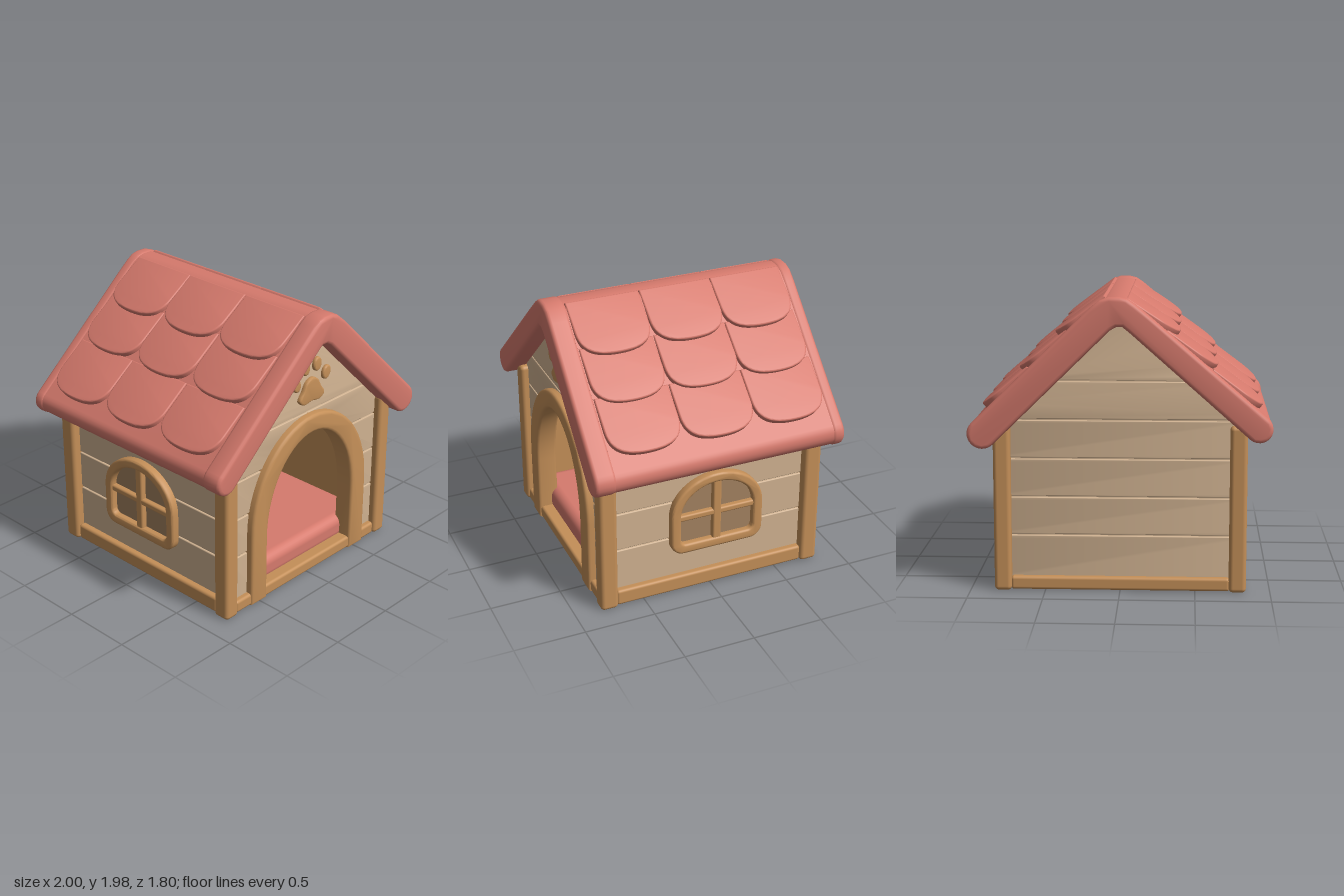
import * as THREE from 'three';
import { RoundedBoxGeometry } from 'three/addons/geometries/RoundedBoxGeometry.js';
import { toCreasedNormals } from 'three/addons/utils/BufferGeometryUtils.js';

const paint = (name, color) => Object.assign(new THREE.MeshStandardMaterial({ color }), { name });
const V = (x, y) => new THREE.Vector2(x, y);

export function createModel() {
  const roofRed = paint('roofRed', 0xd67a6d);
  const wallBeige = paint('wallBeige', 0xd0b291);
  const trimWood = paint('trimWood', 0xc48f58);
  const glassBrown = paint('glassBrown', 0xa38260);
  const model = new THREE.Group();
  model.name = 'petHouse';

  const add = (name, geo, mat, parent = model) => {
    const mesh = new THREE.Mesh(geo, mat);
    mesh.name = name;
    parent.add(mesh);
    return mesh;
  };
  const box = (name, mat, [x0, x1], [y0, y1], [z0, z1], r = 0.02, parent = model) => {
    const mesh = add(name, new RoundedBoxGeometry(x1 - x0, y1 - y0, z1 - z0, 3, r), mat, parent);
    mesh.position.set((x0 + x1) / 2, (y0 + y1) / 2, (z0 + z1) / 2);
    return mesh;
  };
  // Plate with rounded edges between two depths
  const slab = (shape, z0, z1, b = 0.006) => {
    const geo = new THREE.ExtrudeGeometry(shape, {
      depth: z1 - z0 - 2 * b, bevelEnabled: b > 0, bevelThickness: b, bevelSize: b,
      bevelOffset: -b, bevelSegments: 3, curveSegments: 12,
    });
    return toCreasedNormals(geo.translate(0, 0, z0 + b), 0.6);
  };
  // Arch outline from bottom right, over the top, to bottom left
  const arch = (hw, y0, spring, top, r = 0) => {
    const pts = [];
    const corner = (cx, a0) => {
      for (let i = 0; i <= 6; i++) {
        const a = a0 + (i / 6) * Math.PI / 2;
        pts.push(V(cx + r * Math.cos(a), y0 + r + r * Math.sin(a)));
      }
    };
    if (r) corner(hw - r, -Math.PI / 2); else pts.push(V(hw, y0));
    for (let i = 0; i <= 28; i++) {
      const a = (i / 28) * Math.PI;
      pts.push(V(hw * Math.cos(a), spring + (top - spring) * Math.sin(a)));
    }
    if (r) corner(-hw + r, Math.PI); else pts.push(V(-hw, y0));
    return pts;
  };

  // Gable walls
  const wallHalf = (y) => Math.min(0.76, (1.9 - y) / 0.88);
  const doorHalf = (y) => (y < 0.52 ? 0.5 : y < 1.18 ? 0.5 * Math.sqrt(1 - ((y - 0.52) / 0.66) ** 2) : 0);
  const gable = (withDoor) => {
    const s = new THREE.Shape([V(-0.76, 0.04), V(0.76, 0.04), V(0.76, 1.23), V(0, 1.9), V(-0.76, 1.23)]);
    if (withDoor) s.holes.push(new THREE.Path(arch(0.5, 0.06, 0.52, 1.18)));
    return s;
  };
  const planks = (name, mat, edges, z0, z1, withDoor) => {
    for (let k = 0; k < edges.length - 1; k++) {
      const y0 = edges[k] + 0.005, y1 = edges[k + 1] - 0.005, N = 12;
      const ys = Array.from({ length: N + 1 }, (_, i) => y0 + ((y1 - y0) * i) / N);
      const outer = ys.map((y) => V(wallHalf(y), y));
      const split = withDoor && doorHalf(y0) > 0;
      const inner = ys.map((y) => V(split ? doorHalf(y) : -wallHalf(y), y)).reverse();
      const pts = [...outer, ...inner];
      add(name, slab(new THREE.Shape(pts), z0, z1), mat);
      if (split) add(name, slab(new THREE.Shape(pts.map((p) => V(-p.x, p.y)).reverse()), z0, z1), mat);
    }
  };
  add('frontWall', slab(gable(true), 0.7, 0.74, 0), wallBeige);
  add('frontLining', slab(gable(true), 0.68, 0.7, 0), trimWood);
  add('backWall', slab(gable(false), -0.745, -0.7, 0), wallBeige);
  planks('frontPlank', wallBeige, [0.08, 0.42, 0.71, 0.99, 1.26, 1.84], 0.735, 0.765, true);
  planks('backPlank', wallBeige, [0.08, 0.38, 0.64, 0.9, 1.16, 1.42, 1.84], -0.765, -0.735, false);
  planks('innerBackPlank', trimWood, [0.06, 0.24, 0.54, 0.85, 1.2, 1.84], -0.705, -0.67, false);

  // Side walls, corner posts and bottom rails
  const span = (s, a, b) => (s > 0 ? [a, b] : [-b, -a]);
  for (const s of [1, -1]) {
    box('sideWall', wallBeige, span(s, 0.7, 0.745), [0.04, 1.15], [-0.74, 0.74], 0.005);
    box('sideLining', trimWood, span(s, 0.67, 0.7), [0.04, 1.15], [-0.7, 0.7], 0.005);
    [0.1, 0.425, 0.71, 1.14].forEach((y, i, e) => {
      if (i) box('sidePlank', wallBeige, span(s, 0.73, 0.775), [e[i - 1] + 0.004, y - 0.004], [-0.73, 0.73], 0.008);
    });
    box('sideRail', trimWood, span(s, 0.72, 0.82), [0.01, 0.125], [-0.7, 0.7]);
    box('endRail', trimWood, [-0.73, 0.73], [0.01, 0.1], span(s, 0.7, 0.805));
    for (const t of [1, -1]) box('cornerPost', trimWood, span(s, 0.725, 0.84), [0.005, 1.13], span(t, 0.695, 0.82), 0.028);
  }
  box('floor', trimWood, [-0.75, 0.75], [0.02, 0.07], [-0.75, 0.75], 0.005);
  box('cushion', roofRed, [-0.69, 0.69], [0.05, 0.24], [-0.69, 0.72], 0.07);

  // Door frame
  const frame = [...arch(0.59, 0.01, 0.55, 1.25), ...arch(0.44, 0.01, 0.5, 1.12).reverse()];
  add('doorFrame', slab(new THREE.Shape(frame), 0.67, 0.82, 0.022), trimWood);

  // Paw ornament
  const paw = new THREE.Group();
  paw.name = 'pawOrnament';
  model.add(paw);
  const pad = new THREE.Shape(new THREE.SplineCurve([
    V(0.01, 1.345), V(0.09, 1.335), V(0.135, 1.375), V(0.1, 1.43), V(0.065, 1.49), V(0.01, 1.515),
    V(-0.045, 1.49), V(-0.08, 1.43), V(-0.115, 1.375), V(-0.07, 1.335), V(0.01, 1.345),
  ]).getPoints(40).slice(0, -1));
  add('pawPad', slab(pad, 0.755, 0.795, 0.012), trimWood, paw);
  for (const [x, y, tilt] of [[-0.14, 1.5, 0.3], [-0.05, 1.595, 0.1], [0.065, 1.595, -0.1], [0.16, 1.505, -0.3]]) {
    const toe = new THREE.Shape().absellipse(0, 0, 0.038, 0.05, 0, Math.PI * 2);
    const mesh = add('pawToe', slab(toe, 0.755, 0.79, 0.012), trimWood, paw);
    mesh.position.set(x, y, 0);
    mesh.rotation.z = tilt;
  }

  // Side windows, built facing +z and turned to each side
  for (const s of [1, -1]) {
    const win = new THREE.Group();
    win.name = 'sideWindow';
    const rim = new THREE.Shape(arch(0.34, 0.31, 0.6, 0.89, 0.09));
    rim.holes.push(new THREE.Path(arch(0.27, 0.38, 0.6, 0.825, 0.04)));
    add('windowFrame', slab(rim, 0.76, 0.832, 0.016), trimWood, win);
    add('windowGlass', slab(new THREE.Shape(arch(0.3, 0.35, 0.6, 0.86)), 0.777, 0.784, 0), glassBrown, win);
    box('windowUpright', trimWood, [-0.031, 0.031], [0.35, 0.85], [0.77, 0.824], 0.014, win);
    box('windowCrossbar', trimWood, [-0.3, 0.3], [0.562, 0.608], [0.77, 0.822], 0.014, win);
    win.rotation.y = (s * Math.PI) / 2;
    win.position.z = -0.04;
    model.add(win);
  }

  // Roof: a bent profile with rounded eaves, slightly uneven left to right
  const sides = [
    { s: 1, eave: V(0.9, 1.083), r: 0.1, slope: 0.945, top: 2.09, rows: [0.44, 0.68, 0.93] },
    { s: -1, eave: V(-0.91, 1.125), r: 0.09, slope: 0.84, top: 2.02, rows: [0.4, 0.65, 0.95] },
  ];
  const eaveArc = ({ s, eave, r, slope }, inset) => {
    const a0 = Math.atan2(1, s * slope), pts = [];
    for (let i = 0; i <= 12; i++) {
      const a = a0 - (s * Math.PI * i) / 12;
      pts.push(V(eave.x + (r - inset) * Math.cos(a), eave.y + (r - inset) * Math.sin(a)));
    }
    return pts;
  };
  const roofShape = (inset) => new THREE.Shape([
    V(0.06, 1.765 + inset), V(0.02, 1.787 + inset), V(-0.02, 1.787 + inset), V(-0.06, 1.755 + inset),
    ...eaveArc(sides[1], inset).reverse(),
    V(-0.2, 1.852 - inset), V(-0.1, 1.935 - inset), V(-0.05, 1.968 - inset), V(0, 1.98 - inset), V(0.07, 1.979 - inset),
    V(0.13, 1.958 - inset), V(0.2, 1.9 - inset),
    ...eaveArc(sides[0], inset),
  ].reverse());
  add('roofPanel', slab(roofShape(0.006), -0.82, 0.76, 0), roofRed);
  add('frontBargeboard', slab(roofShape(0), 0.75, 0.9, 0.025), roofRed);
  add('backBargeboard', slab(roofShape(0), -0.9, -0.81, 0.025), roofRed);

  // Scalloped tiles, three rows of three on each slope
  const tileShape = (len) => {
    const w = 0.259, t = new THREE.Shape();
    t.moveTo(-w, len).lineTo(-w, 0.19);
    t.bezierCurveTo(-w, 0.05, -0.17, 0, 0, 0);
    t.bezierCurveTo(0.17, 0, w, 0.05, w, 0.19);
    t.lineTo(w, len);
    return t;
  };
  for (const { s, slope, top, rows } of sides) {
    const k = Math.hypot(1, slope);
    const up = new THREE.Vector3(-s / k, slope / k, 0);
    const out = new THREE.Vector3((s * slope) / k, 1 / k, 0);
    const across = up.clone().cross(out);
    rows.forEach((x, row) => {
      const lift = [0.042, 0.034, 0.026][row];
      const geo = slab(tileShape(0.42), -0.06, 0, 0.01).rotateX(-[0.12, 0.08, 0.06][row]);
      for (const z of [0.495, -0.03, -0.55]) {
        const tile = add('roofTile', geo, roofRed);
        const m = new THREE.Matrix4().makeBasis(across, up, out);
        tile.quaternion.setFromRotationMatrix(m);
        const foot = x - (lift * slope) / k;
        tile.position.set(s * foot, top - slope * foot, z).addScaledVector(out, lift);
      }
    });
  }
  return model;
}
